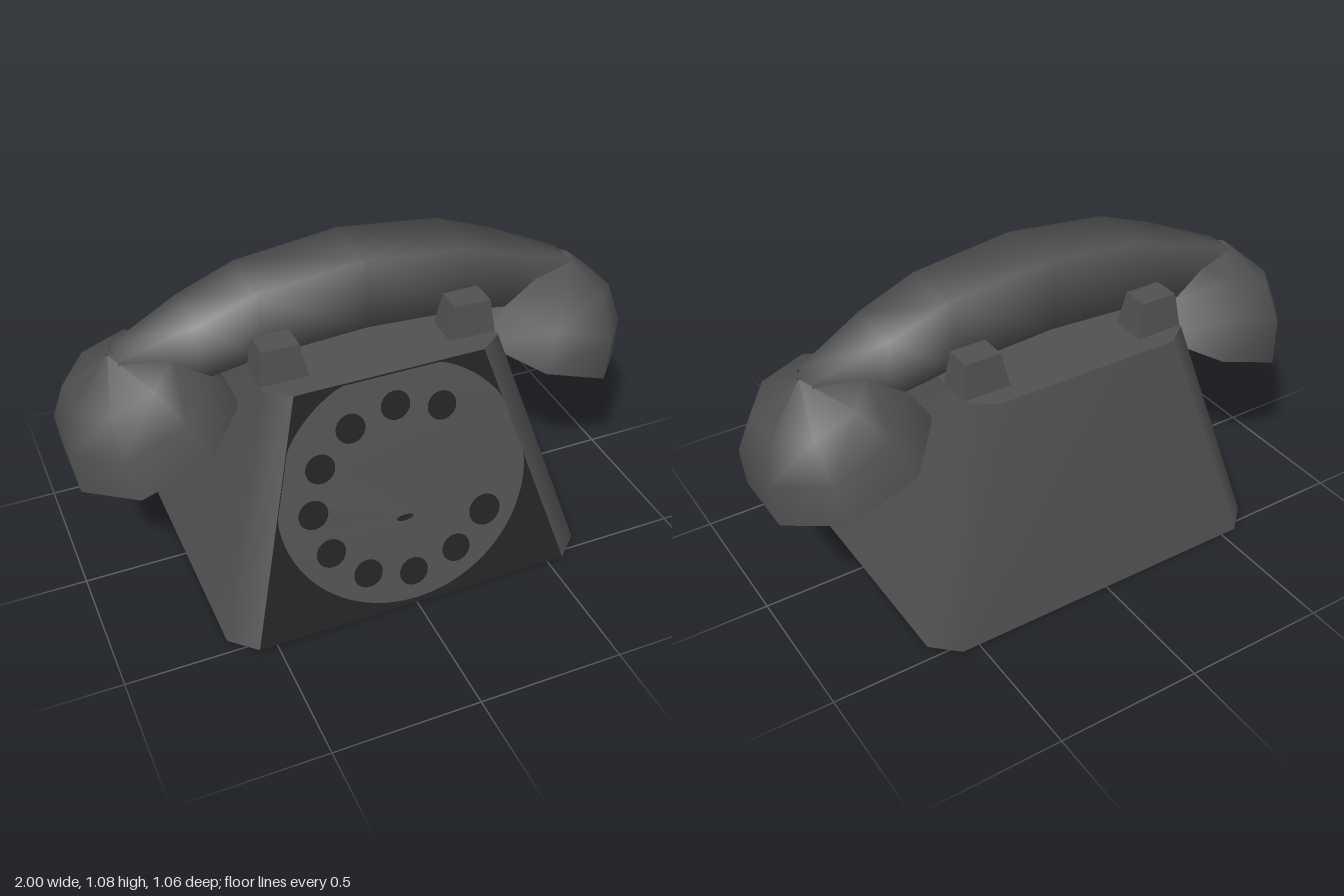
import * as THREE from 'three';

const shell = new THREE.MeshStandardMaterial({ color: 0x505050, side: THREE.DoubleSide });
shell.name = 'charcoal shell';
const dark = new THREE.MeshStandardMaterial({ color: 0x232323, side: THREE.DoubleSide });
dark.name = 'black panel';

function add(parent, name, geometry, material = shell) {
  const m = new THREE.Mesh(geometry, material);
  m.name = name;
  parent.add(m);
  return m;
}

function geometryFrom(points, index) {
  const g = new THREE.BufferGeometry();
  g.setAttribute('position', new THREE.Float32BufferAttribute(points.flat(), 3));
  g.setIndex(index);
  g.computeVertexNormals();
  return g;
}

// Skin over equal-length rings, smooth across all edges
function loft(rings, closed = true) {
  const n = rings[0].length, index = [];
  for (let i = 0; i < rings.length - 1; i++) {
    for (let j = 0; j < (closed ? n : n - 1); j++) {
      const a = i * n + j, b = i * n + (j + 1) % n;
      index.push(a, b, b + n, a, b + n, a + n);
    }
  }
  return geometryFrom(rings.flat(), index);
}

// Flat fan over a convex ring
function cap(ring, flip = false) {
  const index = [];
  for (let j = 1; j < ring.length - 1; j++) index.push(0, flip ? j + 1 : j, flip ? j : j + 1);
  return geometryFrom(ring, index);
}

// Rectangle with cut corners at height y
function cutRect(y, inX, outX, front, back, cut) {
  return [
    [inX, y, front], [outX, y, front - cut], [outX, y, back + cut], [inX, y, back],
    [-inX, y, back], [-outX, y, back + cut], [-outX, y, front - cut], [-inX, y, front],
  ];
}

// Face plate with finger holes, clipped to the sloping front
const frontZ = (y) => 0.53 - 0.304 * y;
const frontEdge = (y) => 0.56 - 0.291 * y;

function dialPlate(offset) {
  const outline = [];
  for (let i = 0; i < 96; i++) {
    const a = (i / 96) * Math.PI * 2;
    const y = Math.min(0.42 + 0.4 * Math.sin(a), 0.787);
    const e = frontEdge(y) - 0.001;
    outline.push(new THREE.Vector2(THREE.MathUtils.clamp(0.44 * Math.cos(a), -e, e), y));
  }
  const shape = new THREE.Shape(outline);
  const hole = (x, y, rx, ry) => shape.holes.push(new THREE.Path().absellipse(x, y, rx, ry, 0, Math.PI * 2));
  for (let deg = 60; deg <= 330; deg += 30) {
    const a = THREE.MathUtils.degToRad(deg), s = deg === 330 ? 1.12 : 1;
    hole(0.32 * Math.cos(a), 0.4 + 0.285 * Math.sin(a), 0.051 * s, 0.048 * s);
  }
  hole(-0.01, 0.308, 0.03, 0.01);
  const g = new THREE.ShapeGeometry(shape, 10);
  const p = g.attributes.position;
  for (let i = 0; i < p.count; i++) p.setZ(i, frontZ(p.getY(i)) + offset);
  g.computeVertexNormals();
  return g;
}

// Tapered rest whose top sits nearer the outside
function prong(sx, z) {
  const g = new THREE.BoxGeometry(0.165, 0.12, 0.125);
  const p = g.attributes.position;
  for (let i = 0; i < p.count; i++) {
    if (p.getY(i) > 0) {
      p.setX(i, p.getX(i) * 0.76 + sx * 0.004);
      p.setZ(i, p.getZ(i) * 0.74);
    }
  }
  g.translate(sx * 0.328, 0.846, z);
  g.computeVertexNormals();
  return g;
}

export function createModel() {
  const phone = new THREE.Group();
  phone.name = 'rotaryTelephone';

  // Body: open underneath, dark sloping front
  const body = new THREE.Group();
  body.name = 'body';
  phone.add(body);
  const base = cutRect(0, 0.56, 0.645, 0.53, -0.53, 0.08);
  const top = cutRect(0.79, 0.33, 0.41, 0.29, -0.39, 0.06);
  add(body, 'bodyWalls', loft([base, top], false));
  add(body, 'bodyTop', cap(top));
  add(body, 'frontPanel', cap([base[7], base[0], top[0], top[7]]), dark);
  add(body, 'dialPlate', dialPlate(0.004));
  add(body, 'dialPlateInside', dialPlate(-0.004));

  // Cradle rests
  for (const sx of [-1, 1]) {
    for (const z of [0.145, -0.26]) add(phone, 'cradleRest', prong(sx, z));
  }

  // Handset
  const handset = new THREE.Group();
  handset.name = 'handset';
  handset.position.z = -0.045;
  phone.add(handset);

  // Handle sections: x, bottom, top, half width at bottom and top
  const half = [
    [0, 0.84, 1.075, 0.14, 0.12],
    [0.36, 0.812, 1.035, 0.13, 0.115],
    [0.56, 0.765, 0.962, 0.11, 0.105],
    [0.8, 0.7, 0.866, 0.08, 0.05],
  ];
  const sections = [...half.slice(1).reverse().map(([x, ...r]) => [-x, ...r]), ...half];
  add(handset, 'handle', loft(sections.map(([x, lo, hi, wl, wh]) => [
    [x, hi, wh], [x, lo, wl], [x, lo, -wl], [x, hi, -wh],
  ])));

  // Domed eight-sided cups, tilted inward: height and scale of each ring
  const rings = [[0, 1], [0.141, 0.885], [0.254, 0.61], [0.327, 0.01]].map(([y, s]) =>
    cutRect(y, 0.125, 0.288, 0.305, -0.305, 0.18).map(([x, h, z]) => [x * s, h, z * s]));
  for (const [name, turn] of [['earCup', 0], ['mouthCup', Math.PI]]) {
    const cup = new THREE.Group();
    cup.name = name;
    cup.rotation.y = turn;
    handset.add(cup);
    for (const m of [add(cup, name + 'Dome', loft(rings)), add(cup, name + 'Face', cap(rings[0], true))]) {
      m.position.set(0.71, 0.555, 0);
      m.rotation.z = -0.347;
    }
  }
  return phone;
}
